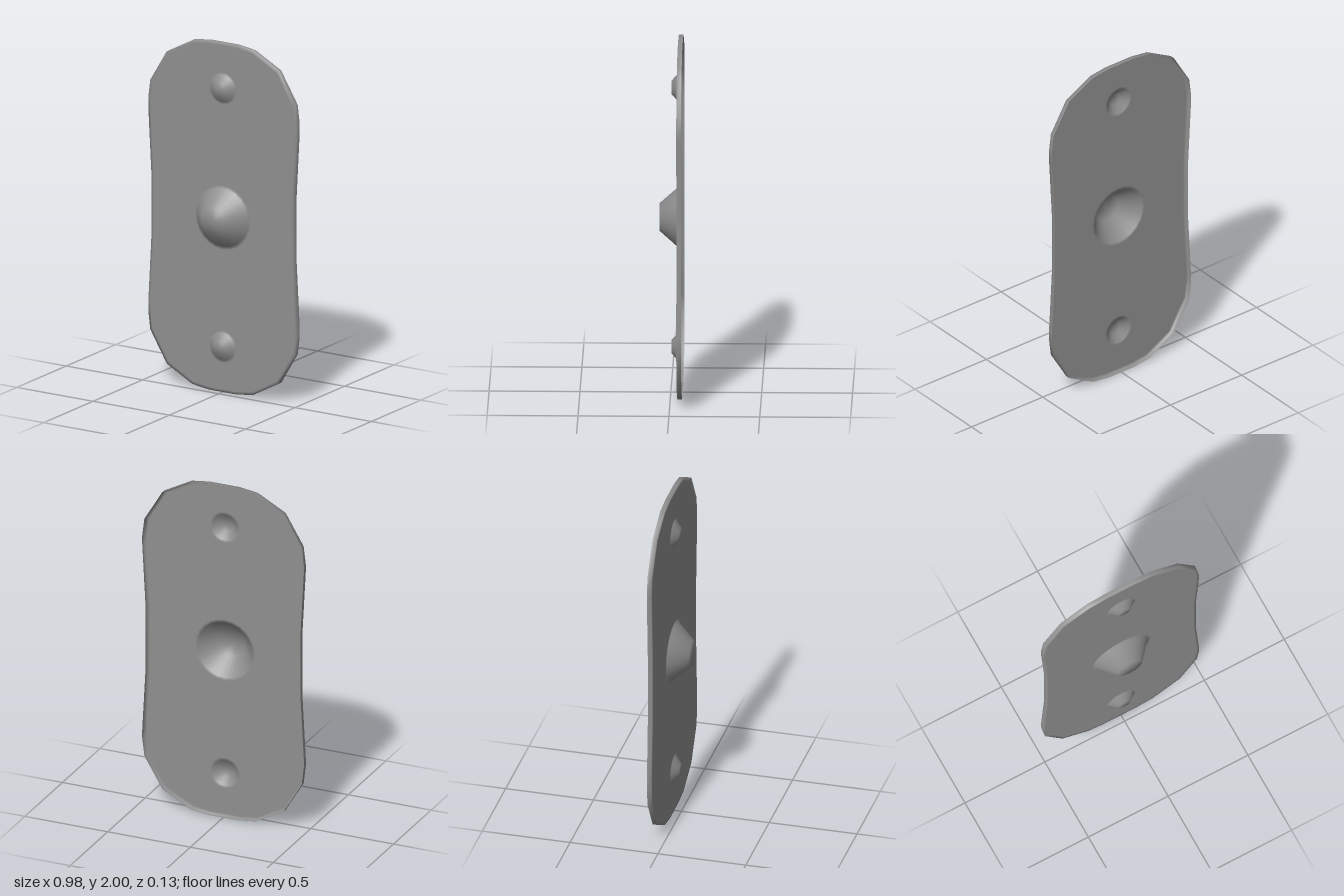
import * as THREE from 'three';

const BACK = -0.066, FRONT = -0.04, SIDES = 24;
const material = new THREE.MeshStandardMaterial({ color: 0x8f8f8f, side: THREE.DoubleSide });

// y: centre height, rim/base/cap: radii, height: rise above the sheet
const BOSSES = [
  { name: 'lowerBoss', y: 0.26, rim: 0.092, base: 0.077, cap: 0.037, height: 0.036 },
  { name: 'centreBoss', y: 1, rim: 0.184, base: 0.166, cap: 0.076, height: 0.102 },
  { name: 'upperBoss', y: 1.74, rim: 0.092, base: 0.077, cap: 0.037, height: 0.036 },
];

// Waisted outline, one quarter mirrored to four
function createOutline() {
  const quarter = [[0.468, 1.19], [0.488, 1.56], [0.488, 1.61], [0.475, 1.715],
    [0.367, 1.895], [0.2, 1.985], [0.09, 2]];
  const top = [...quarter, ...quarter.map(([x, y]) => [-x, y]).reverse()];
  return [...top, ...top.map(([x, y]) => [-x, 2 - y])];
}

// Thin flat sheet with openings for the bosses
function createSheet(outline) {
  const shape = new THREE.Shape(outline.map(([x, y]) => new THREE.Vector2(x, y)));
  for (const { y, rim } of BOSSES) {
    const ring = [];
    for (let i = 0; i < SIDES; i++) {
      const a = -i / SIDES * Math.PI * 2;
      ring.push(new THREE.Vector2(rim * Math.cos(a), y + rim * Math.sin(a)));
    }
    shape.holes.push(new THREE.Path(ring));
  }
  const mesh = new THREE.Mesh(new THREE.ShapeGeometry(shape).translate(0, 0, FRONT), material);
  mesh.name = 'sheet';
  return mesh;
}

// Folded rim: a narrow flat border turning softly into a skirt, open at the back
function createRim(inner, outer) {
  const rings = [[inner, FRONT], [outer, FRONT], [outer, BACK]];
  const n = outer.length;
  const positions = rings.flatMap(([ring, z]) => ring.flatMap(([x, y]) => [x, y, z]));
  const index = [];
  for (let k = 0; k < rings.length - 1; k++) {
    for (let i = 0; i < n; i++) {
      const a = k * n + i, b = k * n + (i + 1) % n;
      index.push(a, a + n, b + n, a, b + n, b);
    }
  }
  const geometry = new THREE.BufferGeometry();
  geometry.setAttribute('position', new THREE.Float32BufferAttribute(positions, 3));
  geometry.setIndex(index);
  geometry.computeVertexNormals();
  const mesh = new THREE.Mesh(geometry, material);
  mesh.name = 'rim';
  return mesh;
}

// Pressed boss: a hollow flat-topped cone, raised in front and dented behind
function createBoss({ name, y, rim, base, cap, height }) {
  const profile = [[rim, 0], [base, 0], [cap, height], [0, height]]
    .map(([r, h]) => new THREE.Vector2(r, h));
  const mesh = new THREE.Mesh(new THREE.LatheGeometry(profile, SIDES).rotateX(Math.PI / 2), material);
  mesh.name = name;
  mesh.position.set(0, y, FRONT);
  return mesh;
}

export function createModel() {
  const model = new THREE.Group();
  model.name = 'embossedPlate';
  const outer = createOutline();
  const inner = outer.map(([x, y]) => [x * 0.968, 1 + (y - 1) * 0.984]);
  model.add(createSheet(inner), createRim(inner, outer), ...BOSSES.map(createBoss));
  return model;
}
